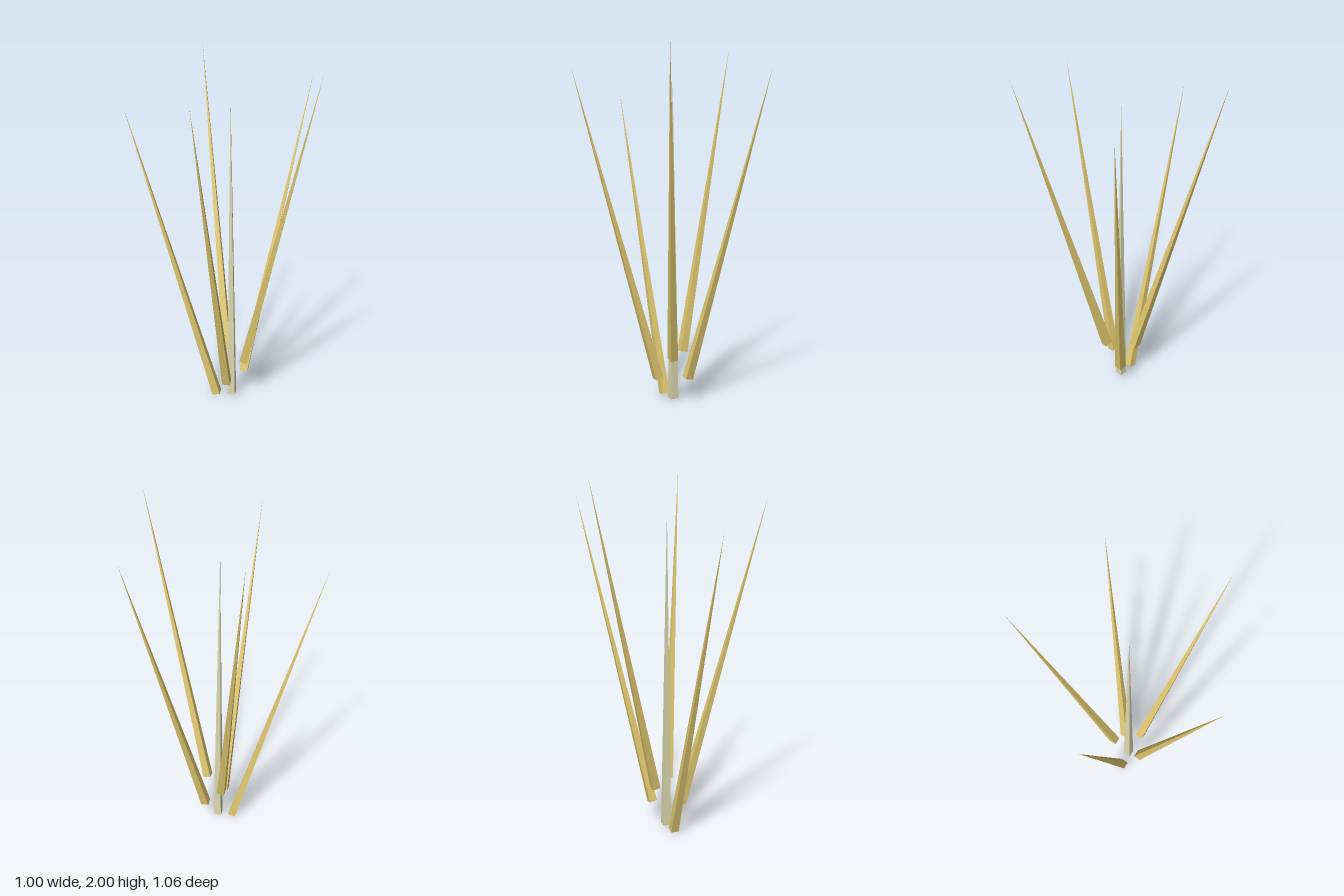
import * as THREE from 'three';

const LENGTH = 1.8, RADIUS = 0.032, TILT = Math.PI / 12;
const CENTRE_X = -0.055, RING = 0.089;

export function createModel() {
  const group = new THREE.Group();
  group.name = 'spikeCluster';
  const gold = new THREE.MeshStandardMaterial({ color: 0xe0c870, flatShading: true });
  gold.name = 'gold';
  const pale = new THREE.MeshStandardMaterial({ color: 0xdcd8b0, flatShading: true });
  pale.name = 'paleStone';

  // Four-sided spike with its base centre at the origin
  const spikeGeometry = new THREE.ConeGeometry(RADIUS, LENGTH, 4);
  spikeGeometry.translate(0, LENGTH / 2, 0);
  const up = new THREE.Vector3(0, 1, 0);

  function addSpike(name, material, x, y, z, direction) {
    const spike = new THREE.Mesh(spikeGeometry, material);
    spike.name = name;
    spike.position.set(x, y, z);
    spike.quaternion.setFromUnitVectors(up, direction);
    group.add(spike);
  }

  // Upright middle spike
  addSpike('centreSpike', pale, CENTRE_X, 0.007, 0, up);

  // Five spikes fanning outward, starting at staggered heights
  const baseHeights = [0.134, 0.261, 0.134, 0.007, 0.261];
  baseHeights.forEach((y, i) => {
    const a = (i * Math.PI * 2) / 5;
    const c = Math.cos(a), s = Math.sin(a);
    const direction = new THREE.Vector3(c * Math.sin(TILT), Math.cos(TILT), s * Math.sin(TILT));
    addSpike(`outerSpike${i + 1}`, gold, CENTRE_X + RING * c, y, RING * s, direction);
  });
  return group;
}
